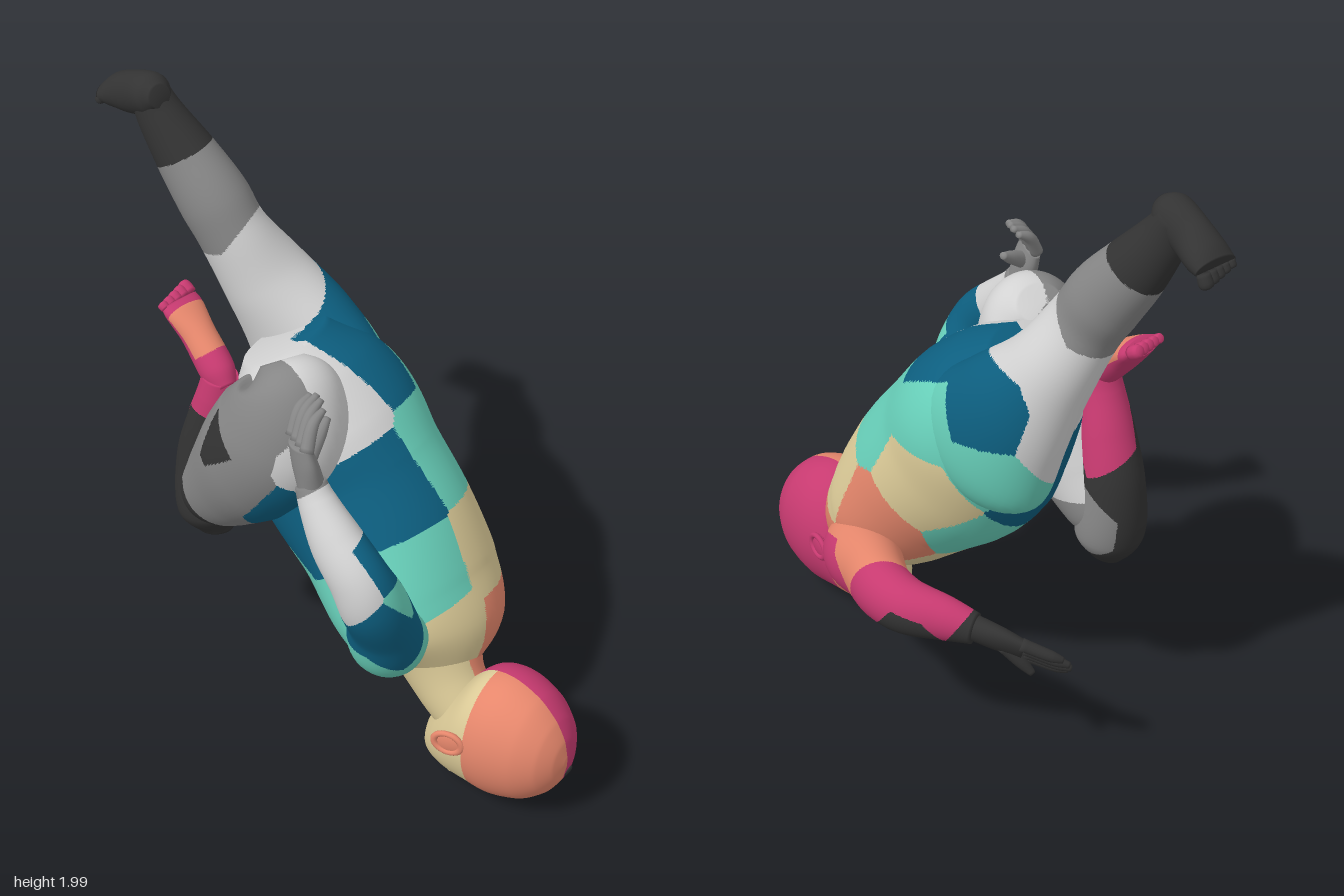
import * as THREE from 'three';

const V = (a) => new THREE.Vector3(a[0], a[1], a[2]);

export function createModel() {
  const model = new THREE.Group();
  model.name = 'tumblingFigure';

  const colours = {
    pink: 0xc73a70, orange: 0xe6876c, sand: 0xdccb98, mint: 0x68d0ba,
    deepTeal: 0x0d5f80, pale: 0xd2d2d2, grey: 0x868686, charcoal: 0x333333,
  };
  const names = Object.keys(colours);
  const mats = names.map((name) => {
    const m = new THREE.MeshStandardMaterial({ color: colours[name] });
    m.name = name;
    return m;
  });
  const [P, O, S, M, D, W, G, K] = names.map((_, i) => i);

  // Patch colour: the nearest of a few seeds [colour, x, y, z]
  const patches = (seeds) => (p) => {
    let best = 0, dist = Infinity;
    for (const [c, x, y, z] of seeds) {
      const d = (p.x - x) ** 2 + (p.y - y) ** 2 + (p.z - z) ** 2;
      if (d < dist) { dist = d; best = c; }
    }
    return best;
  };

  // Smooth oval sweep through sections [x, y, z, radius along hint, radius across]
  function limb(name, sections, colour, { hint = [1, 0, 0], axis = null, rings = 64, sides = 44 } = {}) {
    const pick = typeof colour === 'function' ? colour : () => colour;
    const path = new THREE.CatmullRomCurve3(sections.map(V));
    const radii = new THREE.CatmullRomCurve3(sections.map((s) => new THREE.Vector3(s[3], s[4], 0)), false, 'catmullrom', 0.5);
    const pts = [], index = [];
    for (let i = -1; i <= rings + 1; i++) {
      const t = THREE.MathUtils.clamp(i / rings, 0, 1);
      const c = path.getPoint(t), r = radii.getPoint(t), dir = axis ? V(axis) : path.getTangent(t);
      const u = V(hint).addScaledVector(dir, -V(hint).dot(dir)).normalize();
      const v = dir.clone().cross(u);
      const k = i < 0 || i > rings ? 0 : 1; // closed ends
      for (let j = 0; j < sides; j++) {
        const a = (j / sides) * Math.PI * 2;
        pts.push(c.clone().addScaledVector(u, Math.cos(a) * r.x * k).addScaledVector(v, Math.sin(a) * r.y * k));
      }
    }
    for (let i = 0; i < rings + 2; i++) for (let j = 0; j < sides; j++) {
      const a = i * sides + j, b = i * sides + (j + 1) % sides;
      if (i > 0) index.push(a, b, a + sides);
      if (i < rings + 1) index.push(b, b + sides, a + sides);
    }
    const smooth = new THREE.BufferGeometry().setFromPoints(pts);
    smooth.setIndex(index);
    smooth.computeVertexNormals();
    const corners = pts.map((p, i) => ({ p, n: new THREE.Vector3().fromBufferAttribute(smooth.attributes.normal, i) }));

    // Sort faces by colour, splitting those on a colour border
    const buckets = mats.map(() => []);
    const half = (a, b) => ({ p: a.p.clone().lerp(b.p, 0.5), n: a.n.clone().lerp(b.n, 0.5).normalize() });
    const face = (a, b, c, depth) => {
      const ca = pick(a.p);
      if (depth === 0 || (ca === pick(b.p) && ca === pick(c.p))) {
        const centre = a.p.clone().add(b.p).add(c.p).divideScalar(3);
        buckets[pick(centre)].push(a, b, c);
        return;
      }
      const ab = half(a, b), bc = half(b, c), cd = half(c, a);
      face(a, ab, cd, depth - 1);
      face(ab, b, bc, depth - 1);
      face(cd, bc, c, depth - 1);
      face(ab, bc, cd, depth - 1);
    };
    for (let i = 0; i < index.length; i += 3) face(corners[index[i]], corners[index[i + 1]], corners[index[i + 2]], 2);
    const all = buckets.flat();
    const g = new THREE.BufferGeometry().setFromPoints(all.map((c) => c.p));
    g.setAttribute('normal', new THREE.Float32BufferAttribute(all.flatMap((c) => c.n.toArray()), 3));
    let start = 0;
    buckets.forEach((list, m) => {
      if (list.length) g.addGroup(start, list.length, m);
      start += list.length;
    });
    const mesh = new THREE.Mesh(g, mats);
    mesh.name = name;
    model.add(mesh);
  }

  function blob(name, pos, size, colour, rot = [0, 0, 0]) {
    const mesh = new THREE.Mesh(new THREE.SphereGeometry(1, 20, 14), mats[colour]);
    mesh.position.set(...pos);
    mesh.scale.set(...size);
    mesh.rotation.set(...rot);
    mesh.name = name;
    model.add(mesh);
  }

  // Torso and raised leg share one set of patches
  const body = patches([
    [S, -.12, .53, .5], [M, -.14, .74, .42], [D, -.13, .98, .28], [W, -.15, 1.24, .1],
    [O, .16, .46, .5], [S, .19, .71, .42], [M, .19, 1.0, .25], [D, .18, 1.27, .03],
    [O, .28, .62, .18], [S, .31, .87, -.02], [M, .3, 1.13, -.02], [M, .3, 1.0, -.3],
    [D, .28, 1.26, -.26], [O, .2, .38, .38], [S, .05, .42, .13], [M, -.12, .52, .1],
    [M, .12, .66, -.1], [D, .03, .78, -.3], [M, -.3, .65, .3], [D, -.27, .85, .15],
    [W, .13, 1.18, -.47], [W, .1, 1.35, -.43], [W, .14, 1.46, -.32], [G, .06, 1.62, -.55], [K, .03, 1.87, -.7],
  ]);
  limb('torso', [
    [-.03, .36, .46, .1, .1], [0, .465, .4, .25, .19], [.01, .57, .31, .295, .235],
    [.03, .73, .175, .285, .275], [.035, .88, .03, .285, .295], [.03, 1.03, -.06, .295, .275],
    [.01, 1.17, -.14, .25, .215], [0, 1.28, -.2, .15, .12],
  ], body);
  limb('raisedLeg', [
    [.15, .88, -.06, .04, .06], [.165, .96, -.12, .12, .19], [.175, 1.05, -.18, .15, .245], [.17, 1.2, -.28, .15, .2],
    [.125, 1.36, -.38, .135, .14], [.07, 1.52, -.46, .105, .115], [.055, 1.62, -.52, .105, .115],
    [.04, 1.74, -.61, .09, .1], [.02, 1.86, -.69, .07, .075], [.01, 1.94, -.73, .06, .055],
  ], body);

  // Folded leg
  const folded = patches([
    [W, -.1, 1.2, .2], [W, -.22, 1.12, .16], [W, -.1, 1.33, .04], [G, -.3, 1.3, -.02], [G, -.16, 1.26, -.22],
    [G, -.18, .95, -.42], [K, -.385, 1.1, -.19], [G, -.37, 1.0, -.11], [G, -.34, 1.12, -.3],
    [G, -.37, 1.2, -.1], [G, -.34, .9, -.25], [D, -.3, .88, .06], [G, -.05, .7, -.34],
    [W, -.05, .88, -.3], [K, -.22, .66, -.46],
  ]);
  limb('foldedThigh', [
    [-.15, 1.34, -.08, .07, .06], [-.17, 1.28, -.035, .15, .15], [-.185, 1.13, -.05, .185, .205],
    [-.19, .98, -.14, .18, .2], [-.18, .84, -.25, .15, .16], [-.17, .73, -.34, .12, .12],
    [-.17, .66, -.38, .08, .08],
  ], folded);
  limb('foldedShin', [
    [-.16, .575, -.355, .05, .06], [-.16, .66, -.37, .11, .105], [-.16, .84, -.375, .1, .1],
    [-.17, 1.0, -.34, .085, .085], [-.18, 1.13, -.31, .065, .065], [-.18, 1.2, -.3, .055, .055],
  ], patches([
    [G, -.05, .7, -.35], [K, -.14, .58, -.38], [K, -.2, .68, -.47], [K, -.16, .87, -.47],
    [K, -.26, .95, -.35], [K, -.17, .9, -.25], [P, -.1, 1.02, -.41], [P, -.17, 1.18, -.32],
  ]));

  // Feet with five toes each
  function foot(name, sections, colour, toeColour, dir) {
    limb(name, sections, colour, { rings: 30, sides: 28 });
    const [ex, ey, ez] = sections[sections.length - 1];
    for (let i = 0; i < 5; i++) {
      const r = .022 - i * .0015, x = ex + .052 - i * .027, len = .045 - i * .005;
      const at = (f, k) => [x, ey + dir[0] * len * f, ez + dir[1] * len * f, r * k, r * k];
      limb(name + 'Toe', [at(0, .9), at(.6, 1), at(.9, .8), at(1, .3)], toeColour, { rings: 9, sides: 12 });
    }
  }
  foot('raisedFoot', [
    [-.01, 1.945, -.66, .035, .035], [0, 1.935, -.7, .062, .064], [.015, 1.9, -.79, .06, .066],
    [.035, 1.875, -.86, .07, .052], [.04, 1.86, -.895, .07, .036],
  ], K, K, [-.9, -.4]);
  foot('foldedFoot', [
    [-.19, 1.17, -.27, .035, .04], [-.18, 1.21, -.31, .052, .058], [-.16, 1.29, -.4, .055, .05],
    [-.148, 1.345, -.465, .07, .036], [-.145, 1.365, -.49, .068, .026],
  ], patches([[P, -.18, 1.22, -.26], [O, -.16, 1.34, -.38], [P, -.16, 1.26, -.45], [P, -.14, 1.38, -.53]]), P, [.5, -.85]);

  // Arms
  limb('leftArm', [
    [.15, .44, .38, .1, .1], [.25, .465, .29, .125, .125], [.34, .51, .15, .11, .1],
    [.41, .53, .02, .1, .088], [.42, .53, -.08, .09, .08], [.38, .525, -.2, .072, .062],
    [.34, .51, -.29, .05, .045],
  ], patches([
    [O, .22, .6, .32], [O, .3, .62, .12], [O, .36, .58, .14], [P, .36, .42, .2], [P, .33, .42, .3],
    [O, .18, .4, .4], [P, .5, .55, 0], [P, .45, .62, -.12], [K, .47, .47, -.1], [P, .38, .6, -.2],
    [K, .33, .5, -.34], [S, .25, .38, .05],
  ]), { hint: [0, 1, 0] });
  limb('rightArm', [
    [-.18, .57, .39, .1, .1], [-.27, .62, .42, .115, .12], [-.33, .74, .45, .1, .11],
    [-.395, .87, .46, .1, .1], [-.42, .96, .43, .085, .095], [-.42, 1.05, .35, .075, .085],
    [-.41, 1.15, .27, .055, .06], [-.405, 1.2, .24, .045, .048],
  ], patches([
    [M, -.2, .58, .5], [M, -.34, .56, .4], [S, -.15, .5, .5], [D, -.33, .73, .52], [D, -.38, .76, .38],
    [M, -.34, .905, .57], [D, -.42, .83, .56], [D, -.26, .86, .48], [D, -.36, 1.01, .48],
    [W, -.49, .96, .44], [W, -.42, 1.14, .33], [D, -.33, .92, .4], [G, -.405, 1.26, .22],
  ]));

  // Hands: palm, four bent fingers and a thumb
  function hand(name, wrist, knuckle, tip, side, thumb, colour) {
    const w = V(wrist), k = V(knuckle), t = V(tip), s = V(side).normalize();
    const m = w.clone().lerp(k, .55);
    limb(name + 'Palm', [[...w, .046, .04], [...m, .062, .034], [...k, .06, .024]], colour, { hint: side, rings: 18, sides: 28 });
    for (let i = -1.5; i < 2; i++) {
      const a = k.clone().addScaledVector(s, i * .03);
      const b = t.clone().addScaledVector(s, i * .026).lerp(a, Math.abs(i) * .1);
      const c = a.clone().lerp(b, .5).addScaledVector(k.clone().sub(w), .16);
      limb(name + 'Finger', [[...a, .021, .021], [...c, .018, .018], [...b, .01, .01]], colour, { hint: side, rings: 12, sides: 12 });
    }
    const th = V(thumb), root = m.clone().lerp(th, .15);
    limb(name + 'Thumb', [
      [...root, .028, .028], [...root.clone().lerp(th, .6), .021, .021], [...th, .011, .011],
    ], colour, { hint: [.1, .3, .95], rings: 12, sides: 12 });
  }
  hand('leftHand', [.345, .515, -.27], [.265, .46, -.42], [.18, .41, -.54], [.5, .8, -.2], [.25, .375, -.44], K);
  hand('rightHand', [-.405, 1.19, .245], [-.41, 1.325, .205], [-.305, 1.435, .195], [.4, 0, -.9], [-.28, 1.34, .2], G);

  // Head, neck and face: crown and face halves differ in colour
  const mid = -.035;
  const headColour = (p) => {
    if (p.x > mid) return p.z > .59 ? P : O;
    return p.z > .66 ? O : S;
  };
  limb('head', [
    [mid, .25, .93, .012, .015], [mid, .25, .918, .06, .075], [mid, .25, .885, .11, .135], [mid, .25, .82, .152, .192],
    [mid, .247, .72, .175, .224], [mid, .235, .63, .17, .213], [mid, .195, .56, .15, .175],
    [mid, .155, .5, .12, .132], [mid, .125, .455, .085, .09], [mid, .115, .425, .035, .04],
  ], headColour, { axis: [0, 0, -1], rings: 80, sides: 56 });
  limb('neck', [
    [mid, .22, .58, .1, .1], [-.035, .33, .48, .115, .115], [-.02, .42, .42, .15, .13], [-.01, .5, .38, .17, .12],
  ], (p) => (p.x > mid ? O : S), { rings: 30 });
  blob('nose', [mid, .036, .555], [.026, .034, .036], O);
  blob('lips', [mid, .036, .49], [.042, .018, .02], O);
  for (const s of [-1, 1]) {
    const ear = s > 0 ? P : O;
    blob('ear', [mid + s * .172, .265, .615], [.014, .042, .052], ear, [0, s * -.25, 0]);
    const rim = new THREE.Mesh(new THREE.TorusGeometry(.036, .009, 10, 28), mats[ear]);
    rim.name = 'earRim';
    rim.position.set(mid + s * .182, .27, .615);
    rim.rotation.y = Math.PI / 2 - s * .25;
    rim.scale.set(1.25, 1, 1);
    model.add(rim);
    blob('closedEye', [mid + s * .062, .05, .555], [.028, .014, .016], s > 0 ? O : S);
  }
  blob('crownSpot', [-.012, .185, .916], [.022, .022, .008], K, [.4, 0, 0]);

  return model;
}
